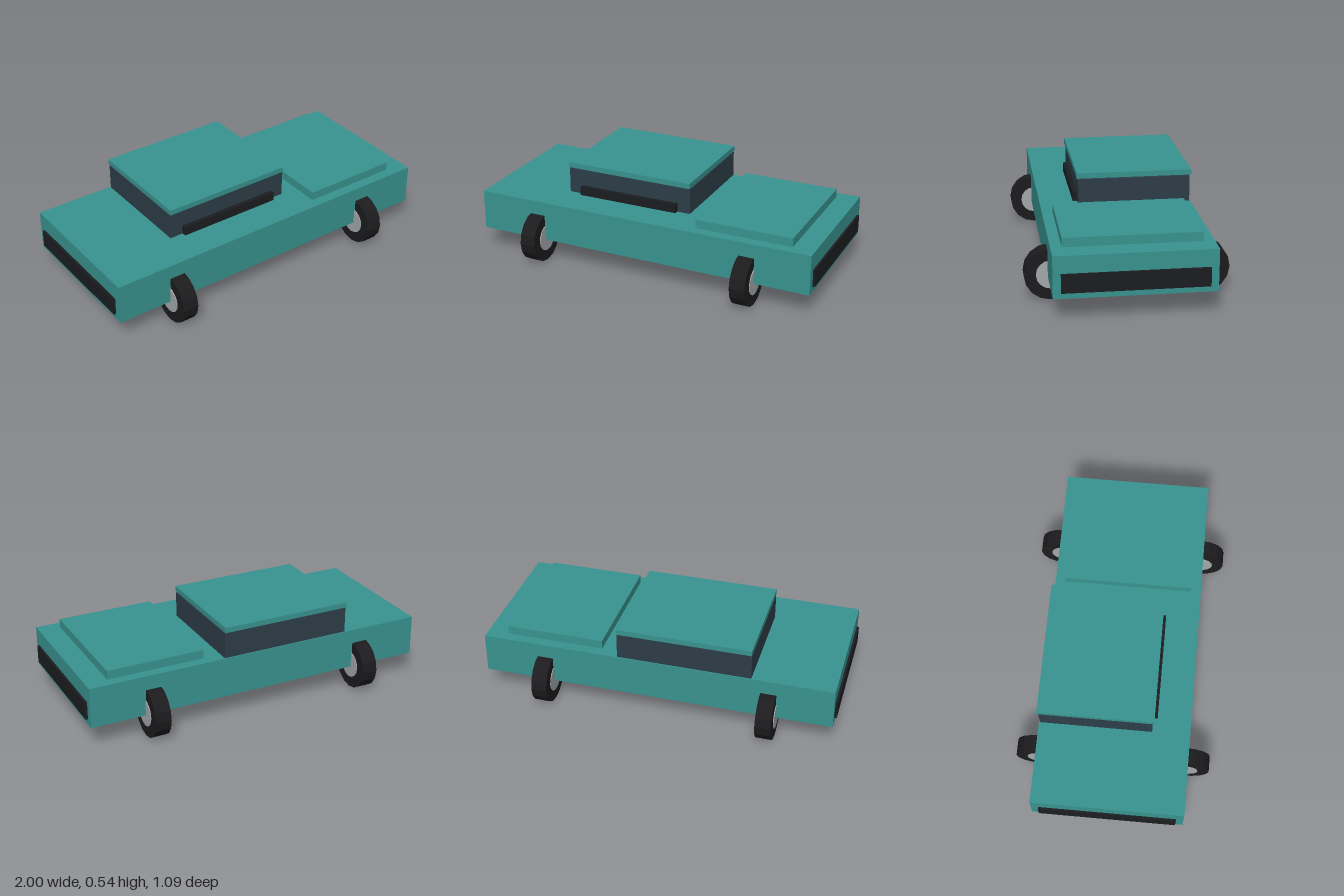
import * as THREE from 'three';

const material = (color) => new THREE.MeshStandardMaterial({ color, flatShading: true });

export function createModel() {
  const car = new THREE.Group();
  car.name = 'car';

  const paint = material(0x38938f);
  const glass = material(0x2d3d48);
  const trim = material(0x1b1d20);
  const rubber = material(0x1c1c1e);
  const metal = material(0xa3a8aa);

  // Box given by its [min, max] range on each axis
  function box(name, mat, [x0, x1], [y0, y1], [z0, z1]) {
    const mesh = new THREE.Mesh(new THREE.BoxGeometry(x1 - x0, y1 - y0, z1 - z0), mat);
    mesh.position.set((x0 + x1) / 2, (y0 + y1) / 2, (z0 + z1) / 2);
    mesh.name = name;
    car.add(mesh);
  }

  // Body and raised panel
  box('body', paint, [-0.987, 0.987], [0.13, 0.357], [-0.418, 0.418]);
  box('hood', paint, [0.315, 0.865], [0.35, 0.406], [-0.36, 0.36]);

  // Cabin with a roof slab floating just above it
  box('cabin', glass, [-0.535, 0.213], [0.35, 0.502], [-0.412, 0.208]);
  box('roof', paint, [-0.535, 0.213], [0.508, 0.538], [-0.421, 0.216]);
  box('cabinTrim', trim, [-0.457, 0.137], [0.357, 0.408], [0.2, 0.232]);

  // Bumper at each end
  box('rightBumper', trim, [-1, -0.97], [0.163, 0.263], [-0.377, 0.377]);
  box('leftBumper', trim, [0.97, 1], [0.163, 0.263], [-0.377, 0.377]);

  // Wheels: tyre with a slightly wider hub, axles along x
  const tyre = new THREE.CylinderGeometry(0.14, 0.14, 0.088, 16).rotateZ(Math.PI / 2);
  const hub = new THREE.CylinderGeometry(0.077, 0.077, 0.097, 16).rotateZ(Math.PI / 2);
  for (const x of [-0.632, 0.632]) {
    for (const z of [-0.403, 0.403]) {
      const wheel = new THREE.Group();
      wheel.name = (z > 0 ? 'front' : 'back') + (x > 0 ? 'Left' : 'Right') + 'Wheel';
      const tyreMesh = new THREE.Mesh(tyre, rubber);
      tyreMesh.name = 'tyre';
      const hubMesh = new THREE.Mesh(hub, metal);
      hubMesh.name = 'hub';
      wheel.add(tyreMesh, hubMesh);
      wheel.position.set(x, 0.14, z);
      car.add(wheel);
    }
  }

  return car;
}
